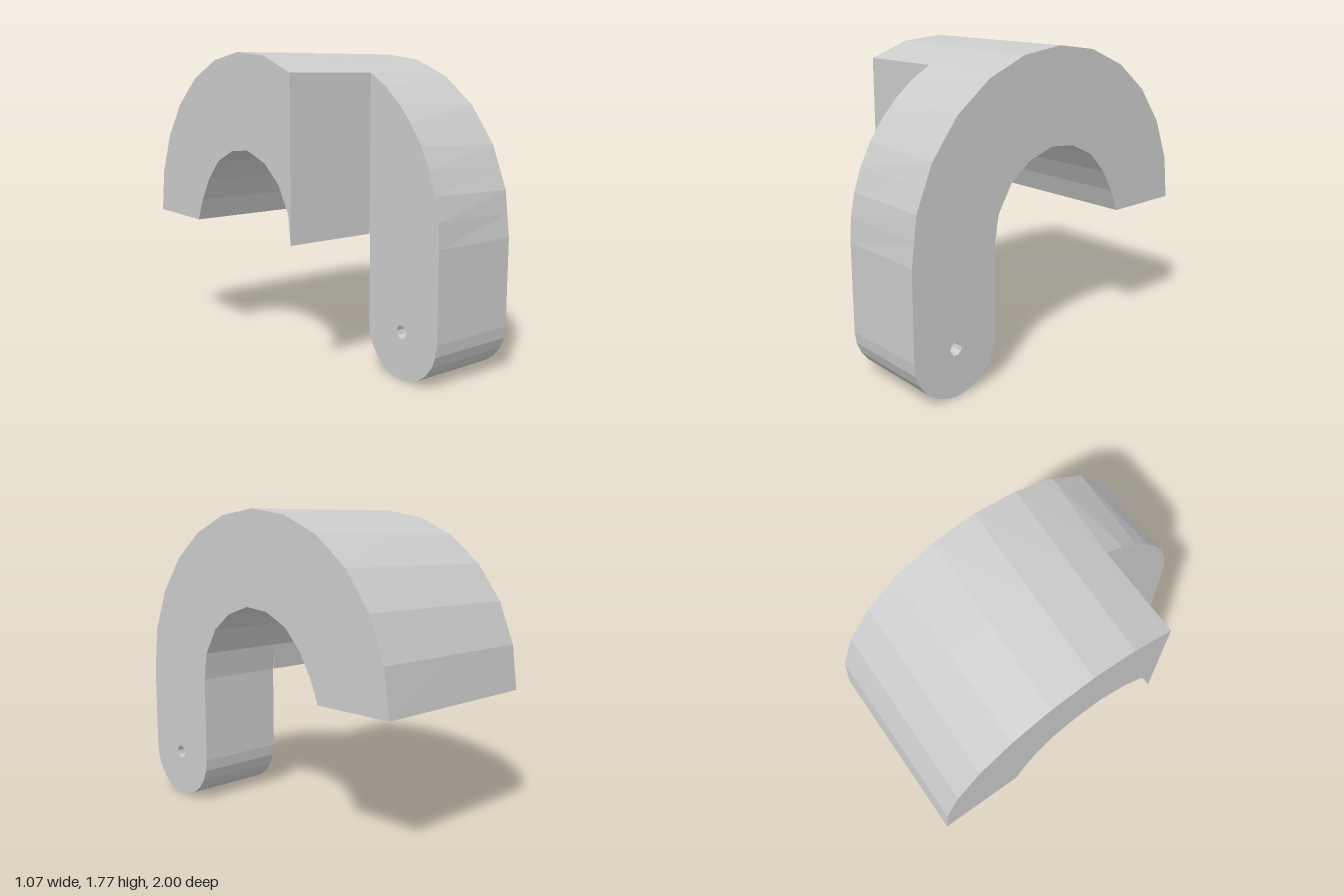
import * as THREE from 'three';

const W = 0.537;                 // half width
const CY = 0.77;                 // height of the arch centre
const WALL = Math.acos(0.46);    // angle at which the cut wall starts
const STEP = Math.PI / 12;
const LEG_Z = 0.733, LEG_R = 0.267;

// point on the outer circle as (z, y)
const onArc = (a) => new THREE.Vector2(Math.cos(a), CY + Math.sin(a));

// outer arc: 8 steps from the back to the cut wall, 8 finer ones down to the leg
const outer = [];
for (let i = 0; i <= 16; i++) {
  outer.push(onArc(i <= 8 ? Math.PI + (WALL - Math.PI) * i / 8 : WALL * (16 - i) / 8));
}

// the same arc on the left side, in regular 15 degree steps
const leftArc = outer.map((p, i) => {
  if (i <= 8) return onArc(Math.PI - STEP * i);
  const k = (16 - i) / 2;
  return onArc(Math.floor(k) * STEP).lerp(onArc(Math.ceil(k) * STEP), k % 1);
});

// inner edge of the arch as (z, y), front to back
const inner = [[0.44, 0.93], [0.35, 1.08], [0.22, 1.18], [0.05, 1.235], [-0.11, 1.22],
  [-0.265, 1.15], [-0.38, 1.03], [-0.46, 0.9], [-0.515, CY]].map(([z, y]) => new THREE.Vector2(z, y));

const toShape = (pts) => new THREE.Shape(pts.map((p) => new THREE.Vector2(-p.x, p.y)));

function part(name, shape, x0) {
  const geo = new THREE.ExtrudeGeometry(shape, { depth: W, bevelEnabled: false, curveSegments: 6 });
  geo.rotateY(Math.PI / 2).translate(x0, 0, 0);
  // slide the outer arc points towards the left side's spacing
  const pos = geo.attributes.position;
  for (let v = 0; v < pos.count; v++) {
    const here = new THREE.Vector2(pos.getZ(v), pos.getY(v));
    const i = outer.findIndex((p) => p.distanceTo(here) < 1e-4);
    if (i < 0) continue;
    const x = pos.getX(v);
    const w = x > 0.1 ? 1 : x > -0.1 && i < 8 ? 0.5 : 0;
    here.copy(outer[i]).lerp(leftArc[i], w);
    pos.setXYZ(v, x, here.y, here.x);
  }
  geo.computeVertexNormals();
  const mesh = new THREE.Mesh(geo, new THREE.MeshStandardMaterial({ color: 0xcccccc, flatShading: true }));
  mesh.name = name;
  return mesh;
}

export function createModel() {
  const model = new THREE.Group();
  model.name = 'hookBracket';

  // full hook with rounded leg end and pin hole
  const legEnd = [];
  for (let i = 0; i <= 12; i++) {
    legEnd.push(new THREE.Vector2(LEG_Z + LEG_R * Math.cos(i * STEP), LEG_R - LEG_R * Math.sin(i * STEP)));
  }
  const hook = toShape([...outer, ...legEnd, new THREE.Vector2(0.466, CY), ...inner]);
  const hole = new THREE.Path();
  const pin = [];
  for (let i = 0; i < 10; i++) {
    const a = i * Math.PI / 5;
    pin.push(new THREE.Vector2(-LEG_Z + 0.038 * Math.cos(a), 0.27 + 0.038 * Math.sin(a)));
  }
  hole.setFromPoints(pin);
  hook.holes.push(hole);
  model.add(part('hookWithLeg', hook, 0));

  // shorter half of the arch, cut off by a flat front wall
  const half = toShape([...outer.slice(0, 9), new THREE.Vector2(0.46, CY), ...inner]);
  model.add(part('cutArch', half, -W));

  return model;
}
